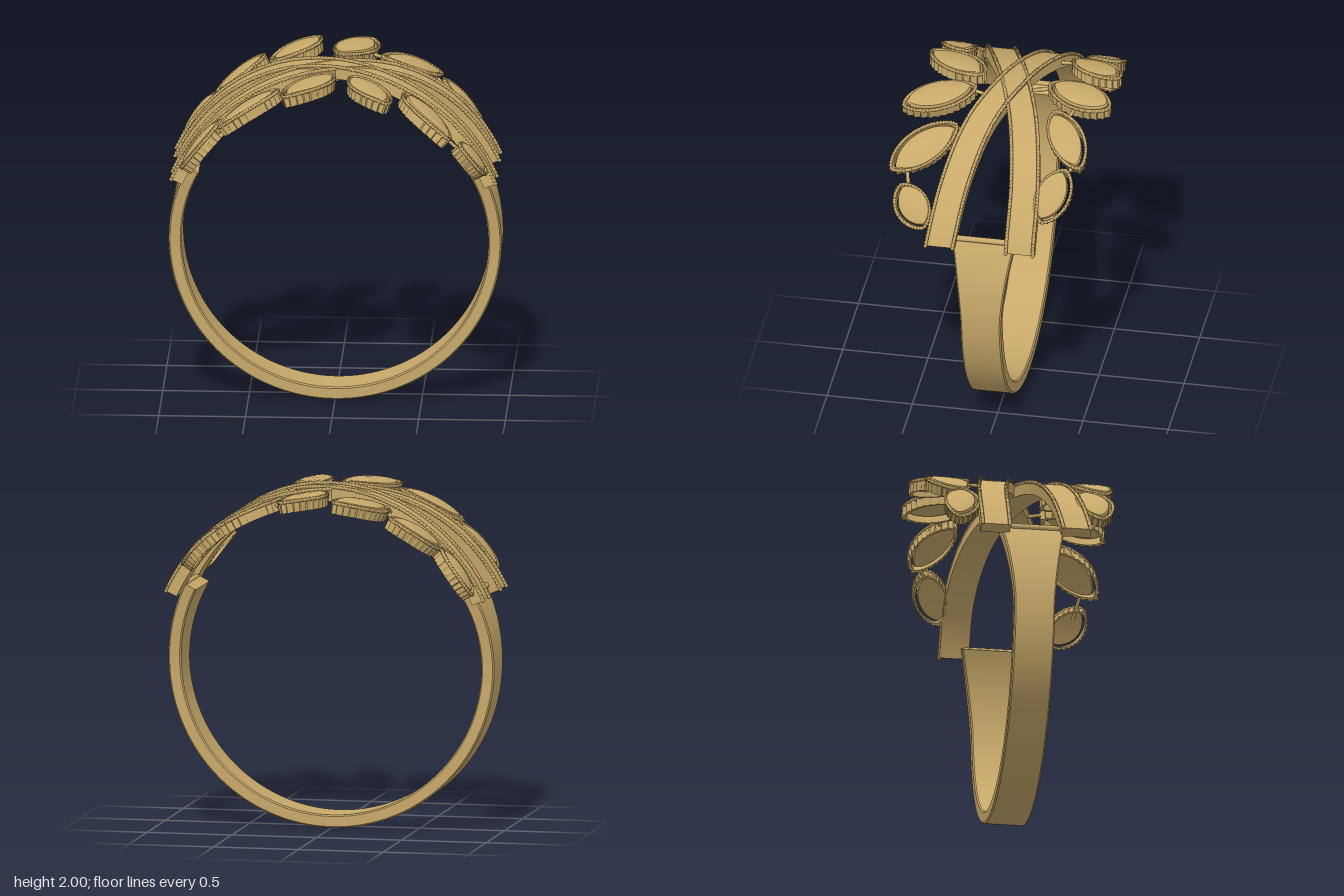
import * as THREE from 'three';
import { mergeGeometries, toCreasedNormals } from 'three/addons/utils/BufferGeometryUtils.js';

const CY = 0.96; // height of the ring axis
const RAD = Math.PI / 180;
const gold = new THREE.MeshStandardMaterial({ color: 0xc8a96a });

// point on a cylinder round the ring axis, th measured from the top towards +x
const onRing = (th, r, z) => new THREE.Vector3(r * Math.sin(th), CY + r * Math.cos(th), z);

// skin through closed cross-sections, ends capped or joined into a loop
function loft(rows, loop = false) {
  const n = rows[0].length, m = rows.length, pts = rows.flat(), idx = [];
  for (let i = 0; i < (loop ? m : m - 1); i++) {
    for (let j = 0; j < n; j++) {
      const a = i * n + j, b = i * n + (j + 1) % n;
      const c = ((i + 1) % m) * n + j, d = ((i + 1) % m) * n + (j + 1) % n;
      idx.push(a, b, d, a, d, c);
    }
  }
  if (!loop) {
    for (const [row, flip] of [[0, true], [m - 1, false]]) {
      const mid = new THREE.Vector3();
      rows[row].forEach(p => mid.addScaledVector(p, 1 / n));
      const k = pts.push(mid) - 1;
      for (let j = 0; j < n; j++) {
        const a = row * n + j, b = row * n + (j + 1) % n;
        idx.push(k, flip ? b : a, flip ? a : b);
      }
    }
  }
  // turn all faces outward
  let vol = 0;
  for (let i = 0; i < idx.length; i += 3) {
    const [a, b, c] = [pts[idx[i]], pts[idx[i + 1]], pts[idx[i + 2]]];
    vol += a.dot(new THREE.Vector3().crossVectors(b, c));
  }
  if (vol < 0) idx.reverse();
  const g = new THREE.BufferGeometry().setFromPoints(pts);
  g.setIndex(idx);
  return toCreasedNormals(g, 0.6);
}

function add(parent, name, geo) {
  const mesh = new THREE.Mesh(geo, gold);
  mesh.name = name;
  parent.add(mesh);
  return mesh;
}

// beaded wire along a curve
function beadedWire(curve, radius, closed) {
  const len = curve.getLength();
  const n = Math.round(len / (radius * 1.65));
  const parts = [new THREE.TubeGeometry(curve, Math.round(len * 50), radius * 0.8, 6, closed)];
  for (const p of curve.getSpacedPoints(n)) {
    parts.push(new THREE.SphereGeometry(radius, 6, 4).translate(p.x, p.y, p.z));
  }
  return mergeGeometries(parts);
}

// lower hoop, widening towards its open ends
function hoop() {
  const rows = [], start = 62.3, steps = 120, b = 0.008;
  for (let i = 0; i <= steps; i++) {
    const th = (start + (360 - 2 * start) * i / steps) * RAD;
    const rise = Math.max(0, 0.96 * Math.cos(th) + 0.11) / 0.55;
    const w = 0.1175 + 0.0675 * Math.pow(rise, 1.6), z = 0.0175;
    const section = [[0.885, -w + b], [0.885 + b, -w], [0.96 - b, -w], [0.96, -w + b],
      [0.96, w - b], [0.96 - b, w], [0.885 + b, w], [0.885, w - b]];
    rows.push(section.map(([r, dz]) => onRing(th, r, z + dz)));
  }
  return loft(rows);
}

// crossing band: centre line z against angle
const bandLine = new THREE.CatmullRomCurve3(
  [-0.205, -0.195, -0.13, -0.01, 0.125, 0.21, 0.265].map((z, i) => new THREE.Vector3((i - 3) * 22, z, 0)));

function crossBand(parent, name, dir, dip) {
  const band = new THREE.Group();
  band.name = name;
  const rows = [], edges = [[], []], steps = 90, w = 0.085;
  for (let i = 0; i <= steps; i++) {
    const p = bandLine.getPoint(i / steps), th = dir * p.x * RAD;
    const low = dip * Math.exp(-Math.pow(p.x / 18, 2));
    const [ri, ro] = [0.953 - low, 1.018 - low];
    rows.push([[ri, -w], [ro, -w], [ro, w], [ri, w]].map(([r, dz]) => onRing(th, r, p.y + dz)));
    edges.forEach((e, k) => e.push(onRing(th, ro + 0.006, p.y + (k ? 1 : -1) * (w - 0.006))));
  }
  add(band, 'bandStrip', loft(rows));
  edges.forEach(e => add(band, 'bandBeading', beadedWire(new THREE.CatmullRomCurve3(e), 0.0125, false)));
  parent.add(band);
}

// leaf laid on the cylinder: two tips as seen from above, half width, side of the open gap
function leaf(parent, [x1, z1, x2, z2, halfWidth, side]) {
  const group = new THREE.Group();
  group.name = 'leaf';
  const a = new THREE.Vector2(Math.asin(x1 / 1.01), z1), b = new THREE.Vector2(Math.asin(x2 / 1.01), z2);
  const mid = a.clone().add(b).multiplyScalar(0.5), half = b.clone().sub(mid);
  const perp = new THREE.Vector2(-half.y, half.x).normalize();
  const raw = [];
  for (let i = 0; i < 48; i++) {
    const f = i / 48 * Math.PI * 2, s = Math.sin(f);
    const across = halfWidth * Math.sign(s) * Math.pow(Math.abs(s), 1.35);
    const q = half.clone().multiplyScalar(Math.cos(f)).addScaledVector(perp, across);
    raw.push(new THREE.Vector3(q.x, q.y, 0));
  }
  const outline = new THREE.CatmullRomCurve3(raw, true).getSpacedPoints(96).slice(0, 96);
  const place = (p, k, r, shift = 0) =>
    onRing(mid.x + p.x * k + perp.x * shift, r, mid.y + p.y * k + perp.y * shift);

  // fluted side wall, open below
  add(group, 'leafWall', loft(outline.map((p, i) => {
    const k = i % 4 < 2 ? 0.99 : 0.94;
    return [place(p, k, 1.008), place(p, k, 0.948), place(p, 0.86, 0.948), place(p, 0.86, 1.008)];
  }), true));
  // beaded rim
  const rim = new THREE.CatmullRomCurve3(outline.map(p => place(p, 0.95, 1.012)), true);
  add(group, 'leafRim', beadedWire(rim, 0.0115, true));
  // domed plate, set to one side so that a thin gap remains
  const dome = [[0.3, 0.98], [0.8, 0.98], [0.85, 0.995], [0.85, 1.012], [0.81, 1.022], [0.72, 1.027], [0.3, 1.031]];
  add(group, 'leafPlate', loft(dome.map(([k, r]) => outline.map(p => place(p, k, r, side * 0.011)))));
  parent.add(group);
}

// short stem between two points seen from above
function stem(parent, [x1, z1, x2, z2]) {
  const curve = new THREE.LineCurve3(
    onRing(Math.asin(x1 / 0.985), 0.985, z1), onRing(Math.asin(x2 / 0.985), 0.985, z2));
  add(parent, 'stem', new THREE.TubeGeometry(curve, 2, 0.011, 8));
}

export function createModel() {
  const model = new THREE.Group();
  model.name = 'leafRing';
  add(model, 'hoop', hoop());
  crossBand(model, 'upperBand', 1, 0);
  crossBand(model, 'lowerBand', -1, 0.012);

  // rods joining the band ends to the hoop
  for (const s of [-1, 1]) {
    const rod = add(model, 'endRod', new THREE.CylinderGeometry(0.017, 0.017, 0.36, 12));
    rod.rotation.x = Math.PI / 2;
    rod.position.set(s * 0.855, 1.4, 0.03);
  }

  // front leaves, then back leaves
  [
    [-0.64, 0.35, -0.875, 0.43, 0.105, 1],
    [-0.31, 0.33, -0.66, 0.48, 0.1, -1],
    [-0.01, 0.17, -0.28, 0.53, 0.115, -1],
    [0.105, 0.19, 0.32, 0.595, 0.11, 1],
    [0.4, 0.25, 0.68, 0.6, 0.11, -1],
    [0.88, 0.36, 0.735, 0.53, 0.1, 1],
    [-0.7, -0.36, -0.9, -0.41, 0.1, 1],
    [-0.71, -0.35, -0.43, -0.53, 0.105, 1],
    [-0.385, -0.29, -0.115, -0.6, 0.11, 1],
    [0.01, -0.21, 0.19, -0.605, 0.115, -1],
    [0.245, -0.285, 0.595, -0.5, 0.1, 1],
    [0.83, -0.31, 0.595, -0.42, 0.1, -1],
  ].forEach(l => leaf(model, l));

  [
    [-0.385, -0.31, -0.37, -0.19], [0.2, -0.39, 0.29, -0.36], [-0.33, 0.33, -0.23, 0.37],
    [0.11, 0.22, 0.15, 0.1], [0.41, 0.27, 0.4, 0.2], [0.03, -0.23, 0.06, -0.1],
    [-0.66, -0.34, -0.72, -0.37], [-0.62, 0.46, -0.68, 0.41], [0.56, -0.45, 0.62, -0.41], [0.66, 0.5, 0.76, 0.47],
  ].forEach(s => stem(model, s));
  return model;
}
